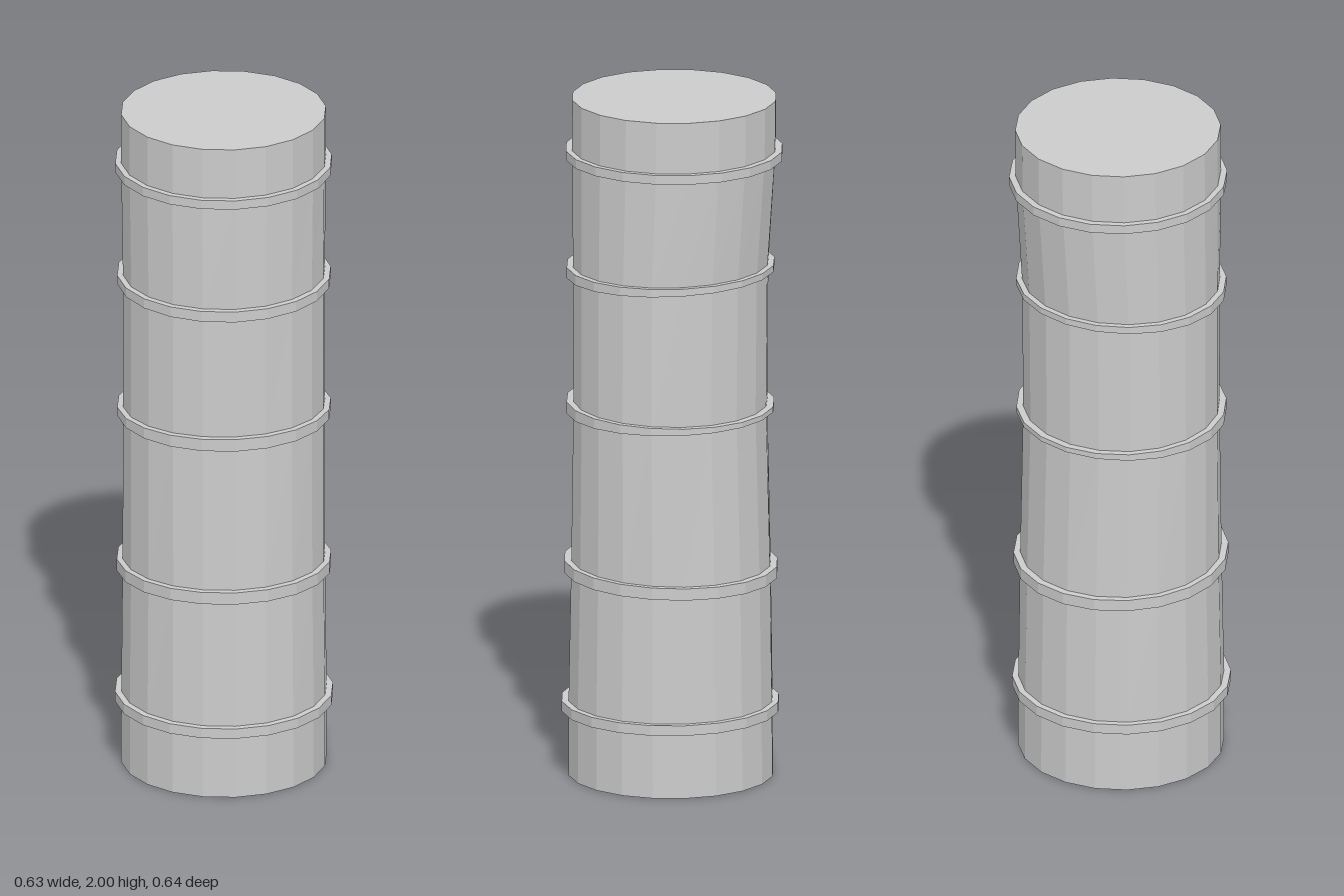
import * as THREE from 'three';

const material = new THREE.MeshStandardMaterial({ color: 0xcccccc, flatShading: true });

// 20-sided capped loft; each section, bottom to top: [yFront, yBack, zFront, zBack, halfWidth]
function loft(name, sections) {
  const last = sections.length - 1;
  const geometry = new THREE.CylinderGeometry(1, 1, 1, 20, last);
  const p = geometry.attributes.position;
  for (let i = 0; i < p.count; i++) {
    const [yF, yB, zF, zB, rx] = sections[Math.round((p.getY(i) + 0.5) * last)];
    const t = (p.getZ(i) + 1) / 2;
    p.setXYZ(i, p.getX(i) * rx, yB + (yF - yB) * t, zB + (zF - zB) * t);
  }
  geometry.computeVertexNormals();
  const mesh = new THREE.Mesh(geometry, material);
  mesh.name = name;
  return mesh;
}

export function createModel() {
  const group = new THREE.Group();
  group.name = 'bambooStalk';

  // Slightly bowed stalk, with a section at each joint
  group.add(loft('stalk', [
    [0, 0, 0.298, -0.292, 0.295],
    [0.205, 0.205, 0.298, -0.29, 0.295],
    [0.62, 0.603, 0.289, -0.284, 0.291],
    [1.09, 1.084, 0.28, -0.271, 0.29],
    [1.488, 1.502, 0.282, -0.275, 0.29],
    [1.838, 1.838, 0.286, -0.3, 0.294],
    [2, 2, 0.286, -0.302, 0.294],
  ]));

  // Joint rings: [lower front y, lower back y, upper front y, upper back y, zFront, zBack, halfWidth]
  const rings = [
    [0.19, 0.19, 0.22, 0.22, 0.318, -0.308, 0.313],
    [0.602, 0.586, 0.638, 0.62, 0.31, -0.304, 0.308],
    [1.072, 1.077, 1.109, 1.092, 0.301, -0.292, 0.307],
    [1.472, 1.493, 1.504, 1.512, 0.301, -0.293, 0.307],
    [1.823, 1.823, 1.85, 1.85, 0.305, -0.32, 0.311],
  ];
  rings.forEach(([f0, b0, f1, b1, zF, zB, rx], i) => {
    group.add(loft('jointRing' + (i + 1), [[f0, b0, zF, zB, rx], [f1, b1, zF, zB, rx]]));
  });
  return group;
}
